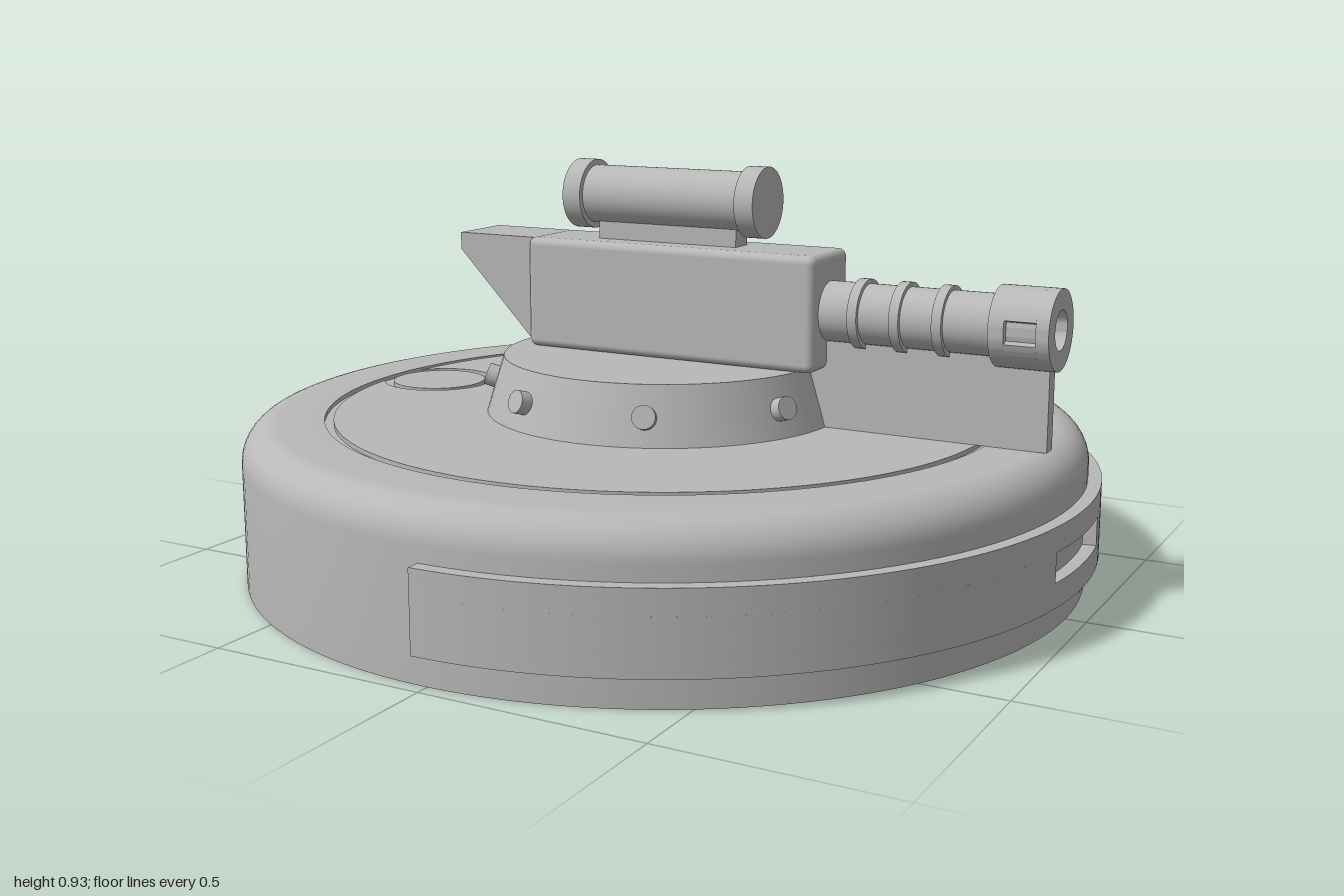
import * as THREE from 'three';
import { toCreasedNormals } from 'three/addons/utils/BufferGeometryUtils.js';
import { RoundedBoxGeometry } from 'three/addons/geometries/RoundedBoxGeometry.js';

const CX = -0.015; // centre of the round base
const grey = new THREE.MeshStandardMaterial({ color: 0xb8b8b8 });
grey.name = 'grey';

export function createModel() {
  const model = new THREE.Group();

  const add = (name, geometry, x = 0, y = 0, z = 0, parent = model) => {
    const mesh = new THREE.Mesh(geometry, grey);
    mesh.name = name;
    mesh.position.set(x, y, z);
    parent.add(mesh);
    return mesh;
  };
  const lathe = (points, segments = 128) => toCreasedNormals(
    new THREE.LatheGeometry(points.map(p => new THREE.Vector2(...p)), segments), 0.5);
  const extrude = (shape, depth, curveSegments = 64) => toCreasedNormals(
    new THREE.ExtrudeGeometry(shape, { depth, bevelEnabled: false, curveSegments }), 0.5);
  // Upright extrusion from a plan drawn in x and -z
  const slab = (shape, depth, segments) => extrude(shape, depth, segments).rotateX(-Math.PI / 2);
  const arcShape = (rIn, rOut, a0, a1) => {
    const s = new THREE.Shape();
    s.absarc(0, 0, rOut, a0, a1, false);
    s.absarc(0, 0, rIn, a1, a0, true);
    return s;
  };
  const disc = r => new THREE.Shape().absarc(0, 0, r, 0, Math.PI * 2, false);
  // Cylinder lying along x between two ends
  const rod = (name, r, x0, x1, y, parent) =>
    add(name, new THREE.CylinderGeometry(r, r, x1 - x0, 48).rotateZ(-Math.PI / 2), (x0 + x1) / 2, y, 0, parent);

  // Base drum with a rounded shoulder and a sunken deck floor
  const profile = [[0, 0], [0.97, 0]];
  for (let i = 0; i <= 10; i++) {
    const a = i / 10 * Math.PI / 2;
    profile.push([0.89 + 0.08 * Math.cos(a), 0.28 + 0.08 * Math.sin(a)]);
  }
  profile.push([0.785, 0.36], [0.785, 0.35], [0, 0.35]);
  add('baseDrum', lathe(profile), CX);

  // Deck plate, bitten by the hatch, leaving grooves around both
  const R = 0.765, hatchX = 0.65, bite = 0.135;
  const px = (R * R - bite * bite + hatchX * hatchX) / (2 * hatchX);
  const pz = Math.sqrt(R * R - px * px);
  const edge = Math.atan2(pz, px), inner = Math.atan2(pz, px - hatchX);
  const deck = new THREE.Shape();
  deck.absarc(0, 0, R, -Math.PI + edge, Math.PI - edge, false);
  deck.absarc(-hatchX, 0, bite, Math.PI - inner, -Math.PI + inner, true);
  add('deckPlate', slab(deck, 0.01, 96), CX, 0.35);
  add('hatch', slab(disc(0.113), 0.01, 48), CX - hatchX, 0.35);

  // Half-round side band with a slot in its middle
  const band = new THREE.Group();
  band.name = 'sideBand';
  band.position.x = CX;
  model.add(band);
  const H = Math.PI / 2, slot = 0.15;
  for (const [y0, y1, a0, a1] of [
    [0.07, 0.125, -H, H], [0.19, 0.245, -H, H],
    [0.125, 0.19, -H, -slot], [0.125, 0.19, slot, H],
  ]) add('bandStrip', slab(arcShape(0.965, 1, a0, a1), y1 - y0), 0, y0, 0, band);

  // Turret ring with bolts
  add('turretRing', new THREE.CylinderGeometry(0.375, 0.415, 0.13, 96), CX, 0.425);
  for (let i = 0; i < 8; i++) {
    const a = (i + 0.5) * Math.PI / 4;
    const bolt = add('turretBolt', new THREE.CylinderGeometry(0.026, 0.026, 0.06, 24).rotateZ(-Math.PI / 2 + 0.3),
      CX + 0.393 * Math.cos(a), 0.42, -0.393 * Math.sin(a));
    bolt.rotation.y = a;
  }

  // Gun housing and rear wedge
  add('gunHousing', new RoundedBoxGeometry(0.735, 0.258, 0.188, 4, 0.018), 0.033, 0.62);
  const wedge = new THREE.Shape([[-0.53, 0.748], [-0.53, 0.708], [-0.335, 0.51], [-0.3, 0.51], [-0.3, 0.748]]
    .map(p => new THREE.Vector2(...p)));
  add('rearWedge', extrude(wedge, 0.164), 0, 0, -0.082);

  // Barrel, collars and support fin
  const AXIS = 0.62;
  rod('barrel', 0.067, 0.38, 0.80, AXIS);
  for (const x of [0.482, 0.578, 0.674]) rod('barrelCollar', 0.077, x - 0.011, x + 0.011, AXIS);
  add('supportFin', new THREE.BoxGeometry(0.585, 0.2, 0.036), 0.6125, 0.46);

  // Hollow muzzle with a slot on each side
  const muzzle = new THREE.Group();
  muzzle.name = 'muzzle';
  muzzle.position.y = AXIS;
  model.add(muzzle);
  const tube = (name, rIn, rOut, a0, a1, x0, x1) =>
    add(name, extrude(arcShape(rIn, rOut, a0, a1), x1 - x0, 32).rotateY(Math.PI / 2), x0, 0, 0, muzzle);
  const g = 0.29, full = Math.PI * 2;
  const shell = (x0, x1) => {
    const s = disc(0.0875);
    s.holes.push(new THREE.Path().absarc(0, 0, 0.043, 0, full, true));
    add('muzzleEnd', extrude(s, x1 - x0, 32).rotateY(Math.PI / 2), x0, 0, 0, muzzle);
  };
  shell(0.79, 0.824);
  shell(0.892, 0.92);
  tube('muzzleTop', 0.043, 0.0875, g, Math.PI - g, 0.824, 0.892);
  tube('muzzleBottom', 0.043, 0.0875, Math.PI + g, full - g, 0.824, 0.892);
  tube('muzzleSlotFloor', 0.043, 0.07, -g, g, 0.824, 0.892);
  tube('muzzleSlotFloor', 0.043, 0.07, Math.PI - g, Math.PI + g, 0.824, 0.892);

  // Sight on its mount
  add('sightMount', new THREE.BoxGeometry(0.355, 0.07, 0.056), 0.002, 0.775);
  rod('sightTube', 0.067, -0.22, 0.22, 0.85);
  rod('sightCap', 0.08, -0.243, -0.197, 0.85);
  rod('sightCap', 0.08, 0.199, 0.245, 0.85);

  return model;
}
